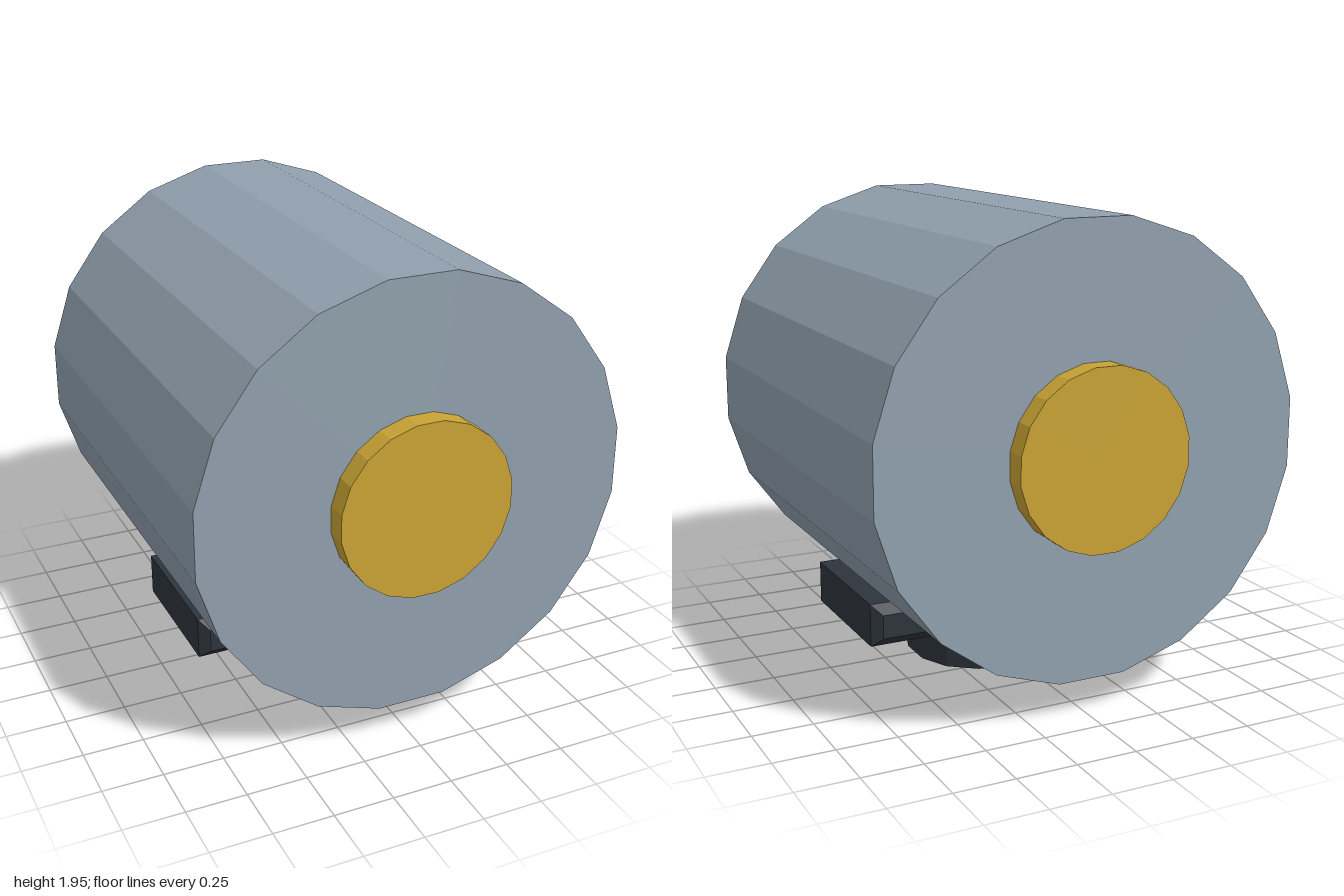
import * as THREE from 'three';

const SIDES = 20;

// Give every face its own normals for a faceted look
function faceted(geometry) {
  const g = geometry.index ? geometry.toNonIndexed() : geometry;
  g.computeVertexNormals();
  return g;
}

// Twenty-sided cylinder with flats facing the axes
function prism(radius, height) {
  return new THREE.CylinderGeometry(radius, radius, height, SIDES, 1, false, Math.PI / SIDES);
}

export function createModel() {
  const model = new THREE.Group();
  const material = (name, color) => {
    const m = new THREE.MeshStandardMaterial({ color });
    m.name = name;
    return m;
  };
  const steel = material('blue grey steel', 0x90a0ad);
  const gold = material('gold', 0xc9a334);
  const dark = material('dark iron', 0x2e343b);

  const add = (name, geometry, mat, x, y, z) => {
    const mesh = new THREE.Mesh(faceted(geometry), mat);
    mesh.name = name;
    mesh.position.set(x, y, z);
    model.add(mesh);
  };

  // Drum lying along z, with a gold hub at each end
  const axisY = 1.055;
  add('drum', prism(0.905, 1.82).rotateX(Math.PI / 2), steel, 0, axisY, 0);
  for (const side of [1, -1]) {
    add(side > 0 ? 'frontHub' : 'backHub',
      prism(0.363, 0.14).rotateX(Math.PI / 2), gold, 0, axisY, side * 0.93);
  }

  // Bevelled bar crossing under the drum
  const outline = new THREE.Shape([[-0.64, -0.05], [0.64, -0.05], [0.64, 0.05], [-0.64, 0.05]]
    .map(([x, y]) => new THREE.Vector2(x, y)));
  const bar = new THREE.ExtrudeGeometry(outline, {
    depth: 0.6, bevelEnabled: true, bevelThickness: 0.04, bevelSize: 0.04, bevelSegments: 1,
  }).translate(0, 0, -0.3);
  add('crossBar', bar, dark, 0, 0.28, 0);

  // Round foot whose underside slopes down towards +x
  const foot = prism(0.495, 0.2).translate(-0.13, 0.1, 0);
  const p = foot.attributes.position;
  for (let i = 0; i < p.count; i++) {
    if (p.getY(i) < 0.1) p.setY(i, (0.359 - p.getX(i)) * 0.204);
    else p.setY(i, 0.205);
  }
  add('slopedFoot', foot, dark, 0, 0, 0);

  return model;
}
